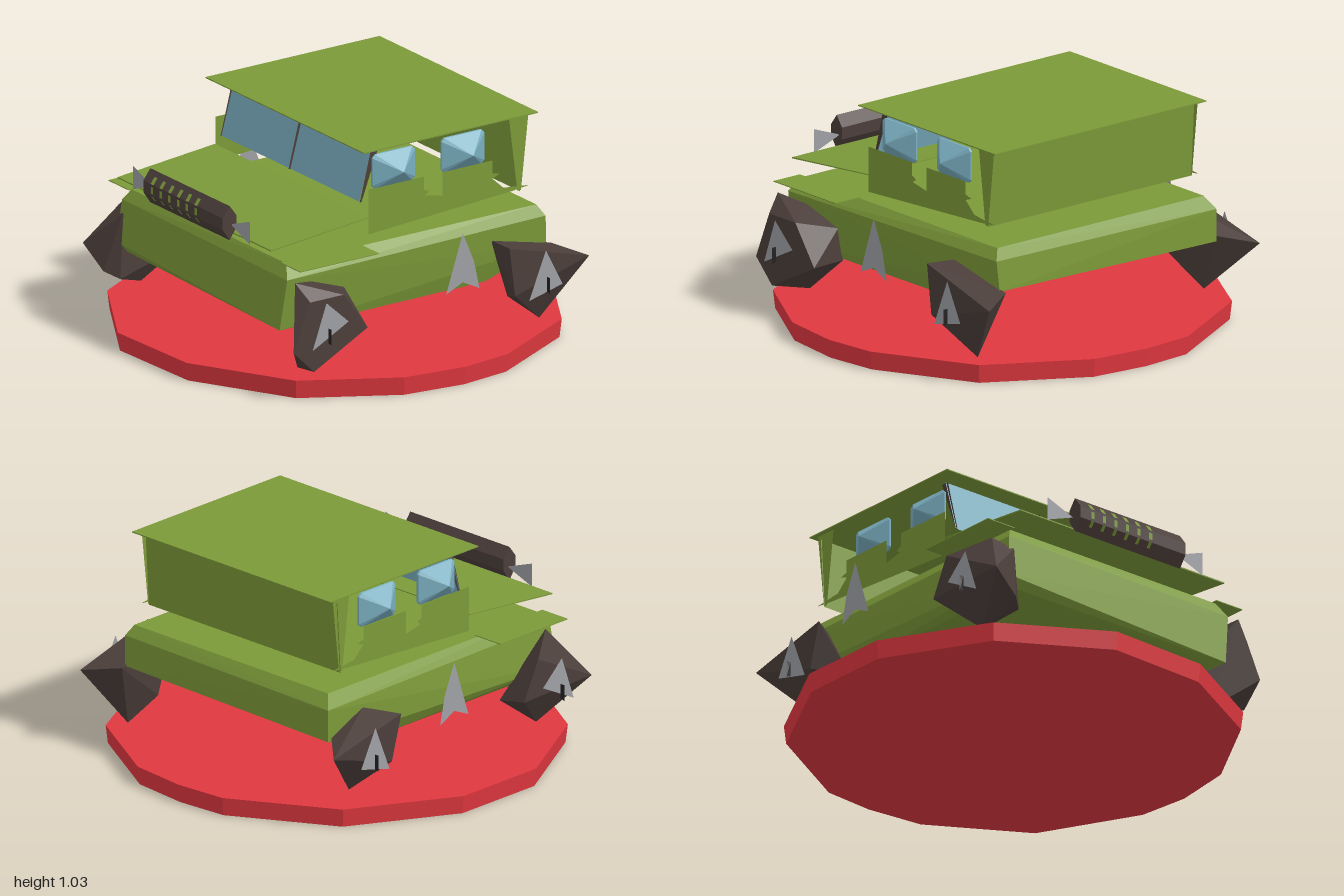
import * as THREE from 'three';
import { ConvexGeometry } from 'three/addons/geometries/ConvexGeometry.js';

const mat = (name, color) => new THREE.MeshStandardMaterial({ name, color, flatShading: true, side: THREE.DoubleSide });

export function createModel() {
  const green = mat('olive green', 0x7c9a39);
  const red = mat('red', 0xe0383f);
  const brown = mat('dark brown', 0x4b3e3a);
  const blue = mat('glass blue', 0x7bafc1);
  const gray = mat('light gray', 0x9fa0a5);
  const black = mat('black', 0x222222);

  const model = new THREE.Group();
  const add = (name, geometry, material) => {
    const mesh = new THREE.Mesh(geometry, material);
    mesh.name = name;
    model.add(mesh);
    return mesh;
  };
  const hull = (pts) => new ConvexGeometry(pts.map((p) => new THREE.Vector3(...p)));
  const shape = (pts) => new THREE.Shape(pts.map((p) => new THREE.Vector2(...p)));
  // flat outline given as (z, y), standing at a fixed x
  const sidePlate = (pts, x) => new THREE.ShapeGeometry(shape(pts)).rotateY(-Math.PI / 2).translate(x, 0, 0);
  // four-cornered sheet
  const sheet = (a, b, c, d) => {
    const g = new THREE.BufferGeometry();
    g.setAttribute('position', new THREE.Float32BufferAttribute([a, b, c, a, c, d].flat(), 3));
    g.computeVertexNormals();
    return g;
  };

  // Faceted round base
  const rim = [[-0.25, -0.98], [0, -1], [0.28, -0.97], [0.73, -0.71], [0.97, -0.25], [1, 0], [0.96, 0.3],
    [0.72, 0.72], [0.25, 0.98], [-0.25, 1], [-0.73, 0.72], [-1, 0.24], [-1, -0.22], [-0.73, -0.71]];
  add('base', hull(rim.flatMap(([x, z]) => [[x, 0.085, z], [x * 0.99, 0, z * 0.99]])), red);

  // Lower body: upright nose, tail undercut
  add('lowerBody', hull([
    [-0.6, 0.59, 0.68], [0.59, 0.59, 0.68], [-0.6, 0.59, -0.67], [0.59, 0.59, -0.67],
    [-0.63, 0.54, 0.71], [0.64, 0.53, 0.71], [-0.64, 0.53, -0.71], [0.62, 0.54, -0.7],
    [-0.65, 0.34, 0.73], [0.61, 0.29, 0.73], [-0.64, 0.38, -0.71], [0.61, 0.4, -0.71],
    [-0.6, 0.3, 0.7], [0.58, 0.28, 0.7], [-0.6, 0.3, -0.42], [0.58, 0.28, -0.4],
  ]), green);

  // Fender tops and hood
  add('rightFender', new THREE.BoxGeometry(0.155, 0.004, 0.425).translate(-0.6675, 0.594, 0.49), green);
  add('leftFender', new THREE.BoxGeometry(0.15, 0.004, 0.425).translate(0.655, 0.594, 0.49), green);
  add('hood', hull([-0.6, 0.58].flatMap((x) => [[x, 0.657, 0.755], [x, 0.663, 0.755], [x, 0.707, 0.23], [x, 0.711, 0.23]])), green);

  // Cabin: roof, rear panel, windscreen
  add('roof', new THREE.BoxGeometry(1.22, 0.005, 0.94).translate(-0.005, 1.026, -0.2), green);
  add('rearPanel', sheet([-0.6, 0.665, -0.59], [0.58, 0.665, -0.59], [0.58, 1.0, -0.61], [-0.6, 1.0, -0.61]), green);
  add('windscreen', sheet([-0.54, 0.77, 0.24], [0.525, 0.77, 0.24], [0.525, 1.02, 0.17], [-0.54, 1.02, 0.17]), blue);
  add('windscreenDivider', sidePlate([[0.25, 0.77], [0.185, 1.02], [0.15, 1.02], [0.235, 0.77]], -0.005), brown);

  // Cabin sides with doors, pillars and bulging windows
  const doors = [[0.23, 0.63], [0.23, 0.84], [-0.07, 0.84], [-0.07, 0.78], [-0.1, 0.765], [-0.075, 0.75],
    [-0.17, 0.73], [-0.17, 0.84], [-0.44, 0.84], [-0.44, 0.78], [-0.48, 0.77], [-0.44, 0.755],
    [-0.5, 0.7], [-0.64, 0.685], [-0.55, 0.675]];
  for (const s of [1, -1]) {
    const side = s > 0 ? 'left' : 'right';
    const x = s > 0 ? 0.58 : -0.595;
    add(side + 'DoorPanel', sidePlate(doors, x), green);
    add(side + 'RearPillar', sidePlate([[-0.575, 0.67], [-0.53, 1.022], [-0.635, 1.022], [-0.595, 0.67]], x), green);
    add(side + 'FrontPillar', sidePlate([[0.245, 0.77], [0.18, 1.02], [0.14, 1.02], [0.235, 0.77]], s * 0.535), brown);
    const shift = s > 0 ? 0 : -0.015;
    for (const z of [0.065, -0.31]) {
      const pane = [[s * 0.62 + shift, 0.9, z]];
      for (const px of [0.53, 0.54]) {
        for (const [dz, dy] of [[0.115, 0.065], [0.1, 0.08]]) {
          for (const a of [1, -1]) for (const b of [1, -1]) pane.push([s * px + shift, 0.9 + a * dy, z + b * dz]);
        }
      }
      add(side + 'Window', hull(pane), blue);
    }
    // Arrow-shaped side plate
    add(side + 'SidePlate', sidePlate([[-0.105, 0.64], [-0.015, 0.37], [-0.105, 0.41], [-0.195, 0.365], [-0.165, 0.5]], s * 0.83), gray);
    // Headlamp
    add(side + 'Headlamp', new THREE.ShapeGeometry(shape([[s * 0.3 - 0.01, 0.705], [s * 0.45 - 0.01, 0.65], [s * 0.45 - 0.01, 0.76]]))
      .translate(0, 0, 0.77), gray);
  }

  // Grille and its upright slots
  add('grille', new THREE.ExtrudeGeometry(
    shape([[0.782, 0.795], [0.82, 0.745], [0.82, 0.69], [0.782, 0.635], [0.745, 0.69], [0.745, 0.745]]),
    { depth: 0.59, bevelEnabled: true, bevelSize: 0, bevelThickness: 0.01, bevelSegments: 1 })
    .rotateY(-Math.PI / 2).translate(0.29, 0, 0), brown);
  const slot = [[0.801, 0.775], [0.8225, 0.746], [0.8225, 0.689], [0.804, 0.665]];
  for (let i = 0; i < 6; i++) {
    const x = -0.24 + i * 0.067;
    for (let k = 0; k < 3; k++) {
      const [z0, y0] = slot[k], [z1, y1] = slot[k + 1];
      const e = k === 1 ? 0.012 : 0;
      const w = 0.022 - k * 0.003;
      add('grilleSlot', sheet([x - w / 2, y0 - e, z0], [x - w / 2, y1 + e, z1], [x + w / 2, y1 + e, z1], [x + w / 2, y0 - e, z0]), green);
    }
  }

  // Jagged wheels, each one cut differently
  const wheels = {
    leftFrontWheel: [[0.7, 0.535, 0.71], [0.64, 0.5, 0.58], [0.775, 0.46, 0.5], [0.775, 0.46, 0.68], [0.775, 0.28, 0.37],
      [0.775, 0.13, 0.66], [0.59, 0.09, 0.62], [0.59, 0.37, 0.62], [0.775, 0.24, 0.77], [0.62, 0.43, 0.39], [0.6, 0.28, 0.38]],
    rightFrontWheel: [[-0.67, 0.545, 0.64], [-0.79, 0.48, 0.47], [-0.79, 0.31, 0.81], [-0.67, 0.12, 0.58], [-0.6, 0.18, 0.74],
      [-0.61, 0.48, 0.72], [-0.79, 0.3, 0.38], [-0.62, 0.26, 0.4], [-0.66, 0.21, 0.79]],
    leftRearWheel: [[0.77, 0.49, -0.4], [0.61, 0.48, -0.41], [0.77, 0.37, -0.83], [0.6, 0.4, -0.74], [0.67, 0.09, -0.63],
      [0.77, 0.26, -0.43], [0.61, 0.2, -0.5]],
    rightRearWheel: [[-0.79, 0.37, -0.83], [-0.79, 0.47, -0.4], [-0.65, 0.49, -0.5], [-0.65, 0.4, -0.7], [-0.79, 0.26, -0.46],
      [-0.66, 0.13, -0.6], [-0.64, 0.25, -0.37]],
  };
  for (const [name, pts] of Object.entries(wheels)) add(name, hull(pts), brown);

  // Hub plates with small pins
  const hubs = { Front: [[0.61, 0.45], [0.685, 0.24], [0.49, 0.34]], Rear: [[-0.575, 0.455], [-0.485, 0.235], [-0.665, 0.28]] };
  for (const s of [1, -1]) {
    for (const [end, hub] of Object.entries(hubs)) {
      const name = (s > 0 ? 'left' : 'right') + end;
      const z = end === 'Front' ? 0.6 : -0.58;
      add(name + 'Hub', sidePlate(hub, s * 0.8), gray);
      add(name + 'HubPin', hull([[s * 0.802, 0.33, z], [s * 0.802, 0.26, z], [s * 0.825, 0.33, z], [s * 0.825, 0.255, z],
        [s * 0.812, 0.3, z + 0.003], [s * 0.812, 0.3, z - 0.003]]), black);
    }
  }
  return model;
}
